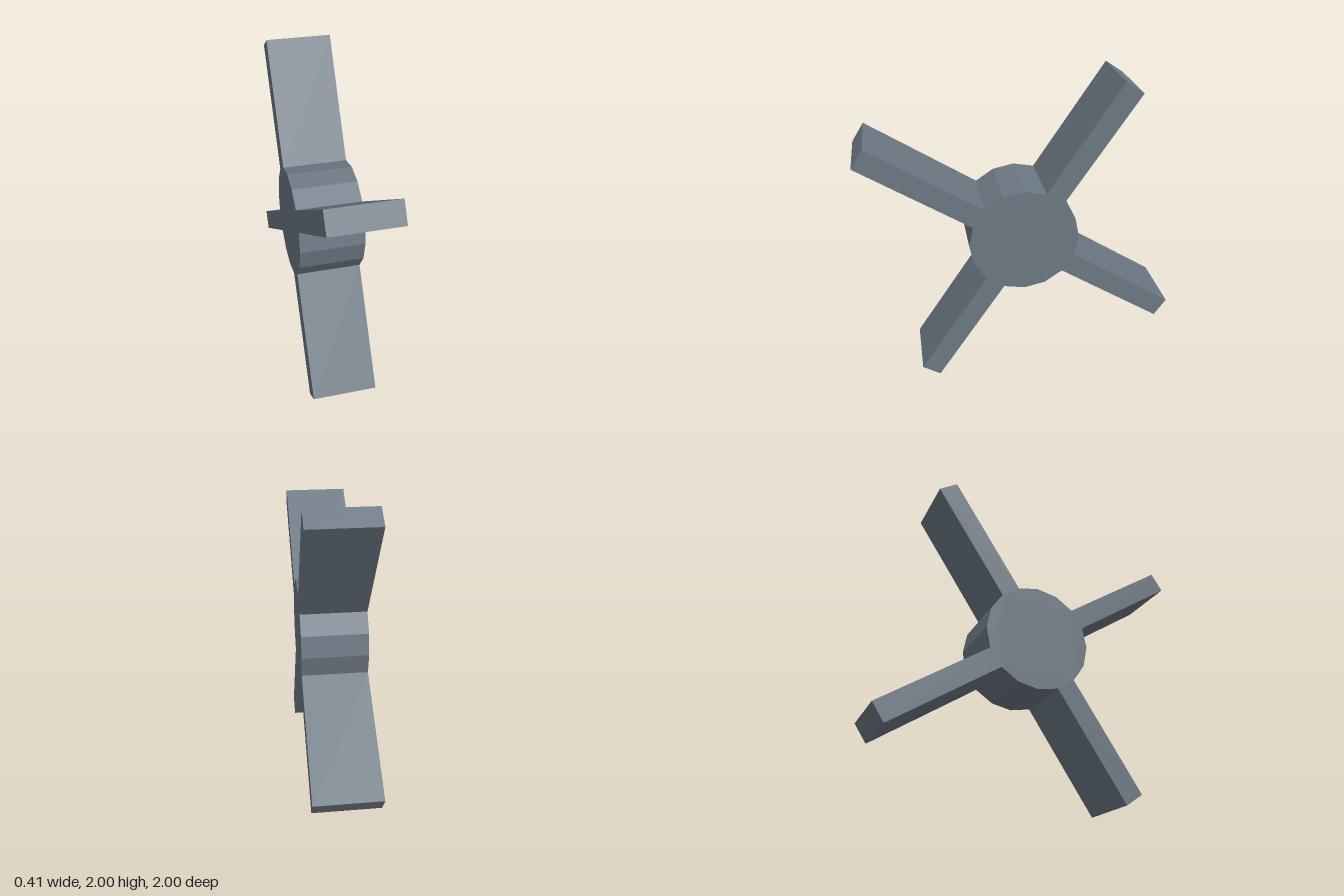
import * as THREE from 'three';

const HUB_RADIUS = 0.35;
const BLADE_LENGTH = 0.814;
const WIDTH = 0.414;

export function createModel() {
  const group = new THREE.Group();
  group.name = 'paddleWheel';

  const steel = new THREE.MeshStandardMaterial({ color: 0x6c7883 });
  steel.name = 'blue grey steel';

  // Sixteen-sided hub outline; every fourth side carries a straight blade
  const step = Math.PI / 8;
  const points = [];
  for (let i = 0; i < 16; i++) {
    const corner = (k) => new THREE.Vector2(Math.cos(k * step), Math.sin(k * step)).multiplyScalar(HUB_RADIUS);
    points.push(corner(i));
    if (i % 4 === 1) {
      const mid = (i + 0.5) * step;
      const reach = new THREE.Vector2(Math.cos(mid), Math.sin(mid)).multiplyScalar(BLADE_LENGTH);
      points.push(corner(i).add(reach), corner(i + 1).add(reach));
    }
  }

  // Extrude across the width and turn the axle along x
  const geometry = new THREE.ExtrudeGeometry(new THREE.Shape(points), { depth: WIDTH, bevelEnabled: false });
  geometry.translate(0, 0, -WIDTH / 2);
  geometry.rotateY(-Math.PI / 2);

  const wheel = new THREE.Mesh(geometry, steel);
  wheel.name = 'hubWithBlades';
  wheel.position.y = 1;
  group.add(wheel);
  return group;
}
